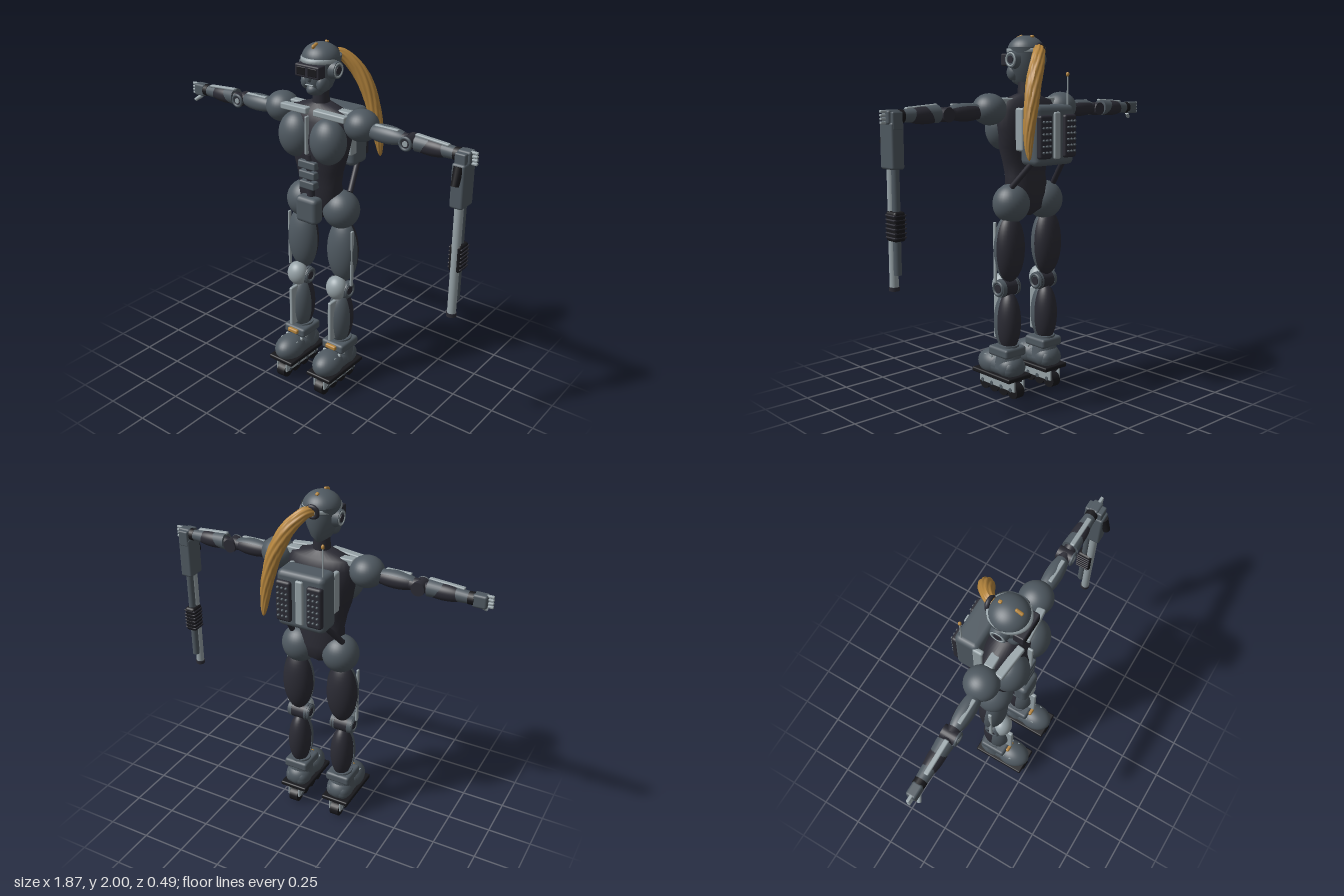
import * as THREE from 'three';
import { RoundedBoxGeometry } from 'three/addons/geometries/RoundedBoxGeometry.js';

const mat = (name, color, side = THREE.FrontSide) => {
  const m = new THREE.MeshStandardMaterial({ color, side });
  m.name = name;
  return m;
};

export function createModel() {
  const root = new THREE.Group();
  const grey = mat('armour grey', 0x4f5961, THREE.DoubleSide);
  const dark = mat('dark undersuit', 0x2b2b34);
  const light = mat('light steel', 0x97a3a8);
  const gold = mat('gold', 0xb5853d);
  const black = mat('black rubber', 0x18181c);

  let parent = root;
  const add = (name, geo, m, p = [0, 0, 0], r = [0, 0, 0]) => {
    const mesh = new THREE.Mesh(geo, m);
    mesh.name = name;
    mesh.position.set(...p);
    mesh.rotation.set(...r);
    parent.add(mesh);
    return mesh;
  };
  const box = (name, m, p, s, r, round = 0.008) =>
    add(name, new RoundedBoxGeometry(...s, 2, Math.min(round, Math.min(...s) * 0.45)), m, p, r);
  const ball = (name, m, p, s, r) =>
    add(name, new THREE.SphereGeometry(1, 32, 22).scale(...s), m, p, r);
  // Front-facing half of an ellipsoid, used as an armour shell
  const shell = (name, m, p, s, r) =>
    add(name, new THREE.SphereGeometry(1, 24, 22, 0, Math.PI).scale(...s), m, p, r);
  const rod = (name, m, a, b, r0, r1 = r0, seg = 18) => {
    const A = new THREE.Vector3(...a), d = new THREE.Vector3(...b).sub(A);
    const mesh = add(name, new THREE.CylinderGeometry(r1, r0, d.length(), seg), m);
    mesh.position.copy(A).addScaledVector(d, 0.5);
    mesh.quaternion.setFromUnitVectors(new THREE.Vector3(0, 1, 0), d.normalize());
    return mesh;
  };
  // Skin over elliptical rings [y, rx, rz, zCentre], listed from bottom to top
  const loft = (name, m, rings, n = 32) => {
    const pos = [], idx = [];
    rings.forEach(([y, rx, rz, zc], i) => {
      for (let j = 0; j < n; j++) {
        const a = (j / n) * Math.PI * 2;
        pos.push(Math.sin(a) * rx, y, zc + Math.cos(a) * rz);
        if (i < rings.length - 1) {
          const k = (j + 1) % n, q = i * n, t = q + n;
          idx.push(q + j, q + k, t + k, q + j, t + k, t + j);
        }
      }
    });
    const g = new THREE.BufferGeometry();
    g.setAttribute('position', new THREE.Float32BufferAttribute(pos, 3));
    g.setIndex(idx);
    g.computeVertexNormals();
    return add(name, g, m);
  };
  const section = (name) => {
    parent = new THREE.Group();
    parent.name = name;
    root.add(parent);
  };

  // Torso
  section('torso');
  loft('undersuit', dark, [[1.02, 0.02, 0.02, 0.01], [1.06, 0.09, 0.07, 0.01], [1.14, 0.14, 0.09, 0.02],
    [1.24, 0.13, 0.085, 0.03], [1.32, 0.145, 0.09, 0.035], [1.4, 0.17, 0.1, 0.035], [1.5, 0.19, 0.115, 0.03],
    [1.6, 0.195, 0.1, 0.025], [1.65, 0.175, 0.075, 0.025], [1.685, 0.06, 0.05, 0.025], [1.69, 0, 0, 0.025]]);
  rod('neck', dark, [0, 1.65, 0.025], [0, 1.79, 0.025], 0.048, 0.042);
  box('sternumStrip', light, [0, 1.53, 0.145], [0.014, 0.21, 0.03]);
  [1.365, 1.308, 1.25].forEach((y, i) =>
    box('abdomenPlate', grey, [0, y, 0.125], [0.115 - i * 0.008, 0.044, 0.06]));
  rod('waistCable', dark, [0, 1.17, 0.11], [0, 1.42, 0.12], 0.025);
  box('pelvisPlate', grey, [0, 1.105, 0.13], [0.14, 0.15, 0.08], undefined, 0.025);
  for (const s of [-1, 1]) {
    ball('chestPlate', grey, [s * 0.105, 1.505, 0.1], [0.102, 0.125, 0.09]);
    box('collarBar', light, [s * 0.115, 1.645, 0.095], [0.19, 0.035, 0.045], [0, s * 0.1, -s * 0.05]);
    box('shoulderBridge', light, [s * 0.15, 1.645, 0.02], [0.09, 0.04, 0.05]);
    box('packStrap', light, [s * 0.13, 1.5, -0.075], [0.03, 0.23, 0.06], undefined, 0.012);
    ball('hip', grey, [s * 0.125, 1.095, 0.008], [0.105, 0.108, 0.1]);
  }

  // Head
  section('head');
  loft('skull', grey, [[1.73, 0, 0, 0.04], [1.732, 0.03, 0.055, 0.035], [1.765, 0.055, 0.08, 0.032],
    [1.82, 0.08, 0.092, 0.03], [1.87, 0.093, 0.095, 0.027], [1.92, 0.094, 0.094, 0.025]]);
  add('cap', new THREE.SphereGeometry(1, 32, 14, 0, Math.PI * 2, 0, Math.PI / 2).scale(0.1, 0.08, 0.1),
    grey, [0, 1.917, 0.025]);
  loft('browBand', light, [[1.904, 0.096, 0.1, 0.025], [1.906, 0.101, 0.112, 0.025],
    [1.926, 0.101, 0.112, 0.025], [1.93, 0.092, 0.095, 0.025]]).scale.set(0.99, 1, 1);
  loft('napeBand', grey, [[1.9, 0.098, 0.1, 0.017], [1.933, 0.103, 0.1, 0.015]]);
  box('visor', dark, [0, 1.868, 0.115], [0.155, 0.066, 0.06]);
  ball('nose', grey, [0, 1.832, 0.118], [0.014, 0.025, 0.016]);
  ball('chin', grey, [0, 1.765, 0.09], [0.035, 0.03, 0.037]);
  box('mouth', light, [0, 1.793, 0.122], [0.05, 0.007, 0.009]);
  for (const s of [-1, 1]) {
    box('lens', black, [s * 0.036, 1.868, 0.143], [0.058, 0.042, 0.008]);
    rod('earDisc', grey, [s * 0.08, 1.868, 0.025], [s * 0.112, 1.868, 0.025], 0.05, 0.044, 28);
    add('earRing', new THREE.TorusGeometry(0.034, 0.006, 8, 28), light, [s * 0.11, 1.868, 0.025], [0, Math.PI / 2, 0]);
    rod('earHub', dark, [s * 0.1, 1.868, 0.025], [s * 0.116, 1.868, 0.025], 0.02);
    ball('cheek', grey, [s * 0.05, 1.8, 0.075], [0.03, 0.045, 0.04]);
  }
  box('crestFront', gold, [0, 1.986, 0.075], [0.018, 0.022, 0.045], [0.3, 0, 0]);
  box('crestBack', gold, [0, 1.991, -0.025], [0.018, 0.012, 0.02], [-0.3, 0, 0]);

  // Ponytail: a tapering tube with twisted strands
  section('ponytail');
  add('hairTie', new THREE.TorusGeometry(0.03, 0.012, 10, 24), dark, [0, 1.915, -0.078], [-0.2, 0, 0]);
  const path = new THREE.CatmullRomCurve3([[0, 1.915, -0.06], [0.025, 1.915, -0.105], [0.085, 1.85, -0.155],
    [0.145, 1.73, -0.19], [0.185, 1.58, -0.21], [0.205, 1.45, -0.218], [0.21, 1.35, -0.23]]
    .map((p) => new THREE.Vector3(...p)));
  const T = 80, R = 36, hair = new THREE.TubeGeometry(path, T, 1, R, false), v = new THREE.Vector3();
  for (let i = 0; i <= T; i++) {
    const t = i / T, c = path.getPointAt(t);
    const w = 0.025 + 0.018 * Math.sin(Math.min(1, t * 2.2) * Math.PI / 2);
    const taper = w * Math.sqrt(Math.max(0.001, 1 - Math.pow(t, 2.4)));
    for (let j = 0; j <= R; j++) {
      const k = i * (R + 1) + j;
      const ridge = 1 + 0.07 * Math.sin((j / R) * Math.PI * 18 + t * 22);
      v.fromBufferAttribute(hair.attributes.position, k).sub(c).multiplyScalar(taper * ridge).add(c);
      hair.attributes.position.setXYZ(k, v.x, v.y, v.z);
    }
  }
  hair.computeVertexNormals();
  add('strands', hair, gold);

  // Backpack
  section('backpack');
  box('packBody', grey, [0, 1.47, -0.145], [0.28, 0.32, 0.14], undefined, 0.03);
  box('packSpine', light, [0, 1.47, -0.215], [0.045, 0.25, 0.025], undefined, 0.01);
  for (const s of [-1, 1]) {
    box('ventBlock', dark, [s * 0.09, 1.465, -0.215], [0.088, 0.23, 0.04], undefined, 0.014);
    for (let i = 0; i < 6; i++) for (let j = -1; j <= 1; j++)
      box('stud', grey, [s * 0.09 + j * 0.024, 1.385 + i * 0.032, -0.237], [0.014, 0.012, 0.018]);
    rod('strut', dark, [s * 0.11, 1.35, -0.17], [s * 0.155, 1.19, -0.03], 0.016);
  }
  rod('antenna', light, [-0.115, 1.6, -0.18], [-0.115, 1.79, -0.18], 0.005, 0.004, 8);
  ball('antennaTip', gold, [-0.115, 1.79, -0.18], [0.009, 0.013, 0.009]);

  for (const s of [-1, 1]) {
    const side = s > 0 ? 'left' : 'right';

    // Arm, stretched out sideways
    section(side + 'Arm');
    const Y = 1.595, Z = 0.03, lay = [-0.8, 0, Math.PI / 2];
    const X = (x, y = Y, z = Z) => [s * x, y, z];
    ball('shoulder', grey, X(0.262, 1.608, 0.025), [0.092, 0.084, 0.092]);
    rod('upperArmCore', dark, X(0.18), X(0.55), 0.04, 0.033);
    ball('upperArm', dark, X(0.42), [0.13, 0.045, 0.044]);
    const up = shell('upperArmShell', grey, X(0.42), [0.05, 0.135, 0.05]);
    up.rotation.order = 'XYZ';
    up.rotation.set(...lay);
    box('upperArmStrip', light, X(0.43, 1.637, 0.045), [0.14, 0.012, 0.022]);
    rod('elbow', dark, X(0.555, Y - 0.006, -0.012), X(0.555, Y - 0.006, 0.072), 0.037, 0.037, 24);
    add('elbowRing', new THREE.TorusGeometry(0.031, 0.008, 8, 24), grey, X(0.555, Y - 0.006, 0.072));
    rod('elbowHub', light, X(0.555, Y - 0.006, 0.06), X(0.555, Y - 0.006, 0.077), 0.015);
    ball('forearm', dark, X(0.68, 1.59), [0.125, 0.044, 0.043]);
    rod('forearmSleeve', grey, X(0.6, 1.595), X(0.815, 1.59), 0.046, 0.031, 24);
    box('forearmStrip', light, X(0.69, 1.632, 0.04), [0.19, 0.014, 0.026], [0, 0, -s * 0.07]);
    rod('wrist', black, X(0.81, 1.59), X(0.84, 1.59), 0.033);
    box('palm', grey, X(0.87, 1.588, 0.032), [0.075, 0.07, 0.055], undefined, 0.012);
    for (let i = 0; i < 4; i++)
      box('finger', light, X(0.915, 1.562 + i * 0.018, 0.035), [0.04, 0.014, 0.018], undefined, 0.005);
    rod('thumb', light, X(0.86, 1.555, 0.045), X(0.895, 1.528, 0.065), 0.012, 0.01, 12);

    // Leg
    section(side + 'Leg');
    const L = 0.14, P = (x, y, z) => [s * (L + x), y, z];
    ball('thigh', dark, P(0, 0.85, 0.005), [0.09, 0.19, 0.076]);
    shell('thighShell', grey, P(0, 0.85, 0.004), [0.097, 0.192, 0.08]);
    box('thighStrip', light, P(0.08, 0.83, 0.035), [0.014, 0.34, 0.022]);
    rod('kneeJoint', dark, P(-0.055, 0.625, 0.03), P(0.05, 0.625, 0.03), 0.05, 0.05, 24);
    ball('kneeCap', light, P(0, 0.635, 0.065), [0.062, 0.07, 0.056]);
    for (const o of [-1, 1]) {
      rod('kneeDisc', grey, P(o * 0.04, 0.625, 0.03), P(o * 0.064, 0.625, 0.03), 0.052, 0.048, 24);
      add('kneeRing', new THREE.TorusGeometry(0.036, 0.008, 8, 24), grey, P(o * 0.064, 0.625, 0.03), [0, Math.PI / 2, 0]);
      rod('kneeHub', dark, P(o * 0.05, 0.625, 0.03), P(o * 0.068, 0.625, 0.03), 0.024);
    }
    ball('calf', dark, P(0, 0.43, 0.015), [0.066, 0.17, 0.072]);
    shell('shinShell', grey, P(0, 0.43, 0.03), [0.071, 0.168, 0.078]);
    box('shinStrip', light, P(0, 0.44, 0.105), [0.022, 0.25, 0.06]);

    // Roller boot
    section(side + 'Boot');
    box('ankleCuff', grey, P(0, 0.263, 0.03), [0.15, 0.055, 0.16], undefined, 0.015);
    box('cuffTag', gold, P(0, 0.268, 0.112), [0.07, 0.026, 0.03]);
    rod('ankle', grey, P(0, 0.17, 0.02), P(0, 0.3, 0.02), 0.08, 0.06, 24);
    box('bootBody', grey, P(0, 0.17, 0.06), [0.145, 0.1, 0.26], undefined, 0.045);
    ball('toe', grey, P(0, 0.172, 0.14), [0.082, 0.075, 0.108]);
    ball('heel', grey, P(0, 0.175, 0), [0.08, 0.07, 0.075]);
    for (let i = 0; i < 3; i++)
      rod('buckle', light, P(-0.06, 0.225 - i * 0.004, 0.06 + i * 0.045), P(0.06, 0.225 - i * 0.004, 0.06 + i * 0.045), 0.011, 0.011, 10);
    box('sole', black, P(0, 0.12, 0.08), [0.17, 0.026, 0.32]);
    for (const o of [-1, 1])
      box('wheelFrame', light, P(o * 0.034, 0.078, 0.078), [0.012, 0.066, 0.3], undefined, 0.004);
    box('frameTop', dark, P(0, 0.1, 0.078), [0.07, 0.02, 0.28]);
    for (let i = 0; i < 4; i++) {
      const z = -0.042 + i * 0.08;
      rod('wheel', black, P(-0.027, 0.042, z), P(0.027, 0.042, z), 0.042, 0.042, 24);
      rod('axle', grey, P(-0.043, 0.055, z), P(0.043, 0.055, z), 0.012, 0.012, 12);
    }
  }

  // Long gun hanging muzzle down from the left hand
  section('longGun');
  const G = 0.865;
  box('receiver', grey, [G, 1.45, 0.042], [0.072, 0.23, 0.11], undefined, 0.012);
  box('stockBlock', grey, [G, 1.57, 0.035], [0.06, 0.09, 0.1]);
  rod('grip', black, [G, 1.55, 0.085], [G, 1.46, 0.115], 0.026, 0.02);
  rod('barrel', light, [G, 1.36, 0.055], [G, 0.73, 0.055], 0.023, 0.023, 20);
  rod('muzzle', dark, [G, 0.745, 0.055], [G, 0.725, 0.055], 0.027, 0.027, 20);
  rod('magazineTube', grey, [G, 1.36, 0.02], [G, 0.81, 0.02], 0.02, 0.02, 20);
  box('pump', black, [G, 1.055, 0.028], [0.066, 0.15, 0.085], undefined, 0.015);
  for (let i = 0; i < 6; i++)
    box('pumpRib', dark, [G, 1.0 + i * 0.022, 0.025], [0.076, 0.01, 0.08]);

  return root;
}
